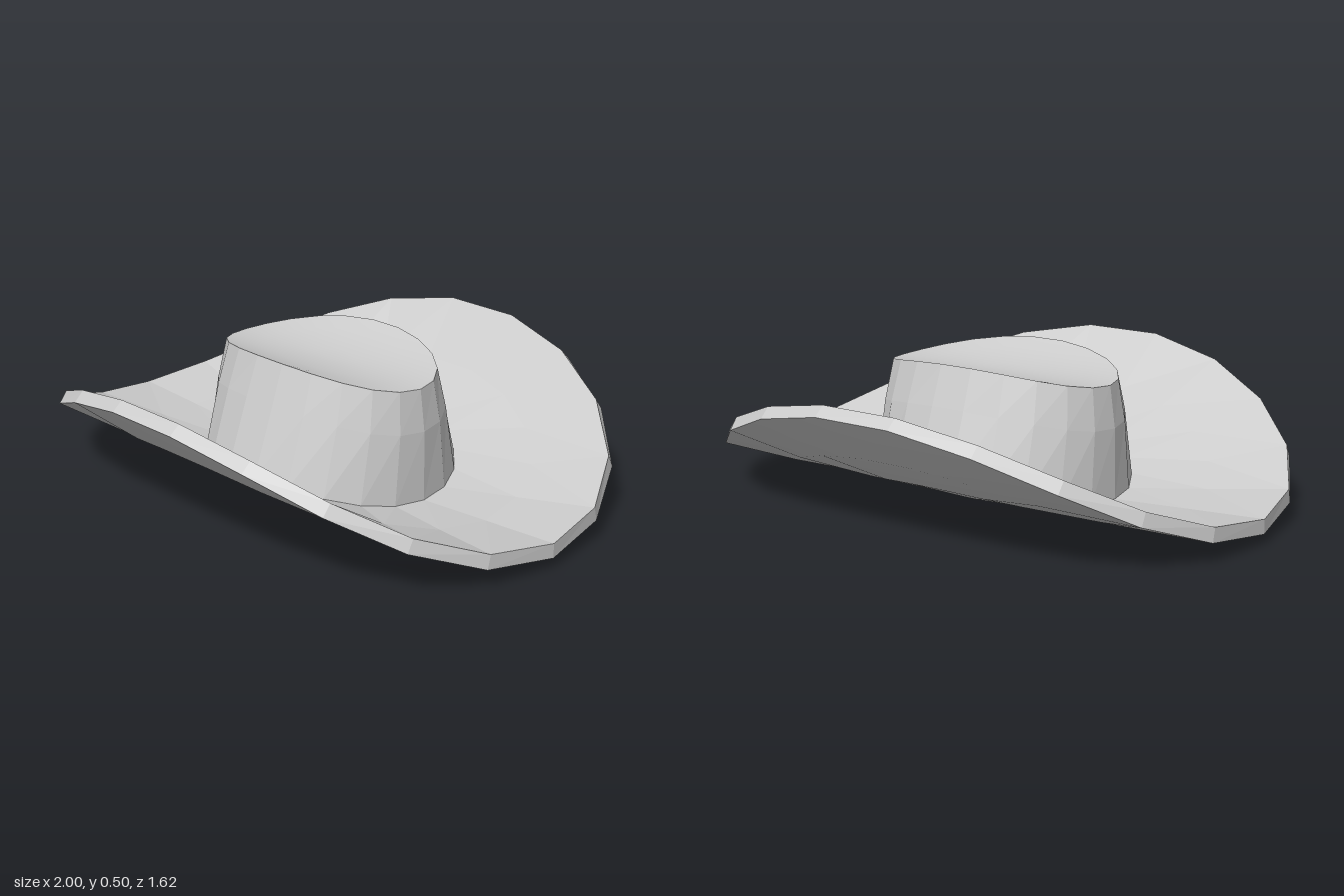
import * as THREE from 'three';
import { mergeVertices } from 'three/addons/utils/BufferGeometryUtils.js';

const SIDES = 22;
const BEND = 1.053;   // radius of the curl that lifts front and back
const BASE = 0.04;    // height of the rim's lower edge at the sides

// Curl a flat point about an axis running along x.
function curl(x, h, z) {
  const a = z / BEND;
  return [x, BASE + BEND - (BEND - h) * Math.cos(a), (BEND - h) * Math.sin(a)];
}

// Skin a run of oval rings [half width, half depth, height], then curl it.
function skin(name, rings, smooth) {
  const position = [], index = [];
  for (const [w, d, h] of rings) {
    for (let i = 0; i < SIDES; i++) {
      const t = (i / SIDES) * Math.PI * 2;
      position.push(...curl(w * Math.cos(t), h, d * Math.sin(t)));
    }
  }
  for (let k = 0; k < rings.length - 1; k++) {
    for (let i = 0; i < SIDES; i++) {
      const j = (i + 1) % SIDES;
      const p = k * SIDES + i, q = k * SIDES + j;
      const r = p + SIDES, s = q + SIDES;
      if (rings[k][0] > 0) index.push(p, r, q);
      if (rings[k + 1][0] > 0) index.push(q, r, s);
    }
  }
  let geometry = new THREE.BufferGeometry();
  geometry.setAttribute('position', new THREE.Float32BufferAttribute(position, 3));
  geometry.setIndex(index);
  geometry = smooth ? mergeVertices(geometry) : geometry.toNonIndexed();
  geometry.computeVertexNormals();
  const material = new THREE.MeshStandardMaterial({ color: 0xcccccc, flatShading: !smooth });
  const mesh = new THREE.Mesh(geometry, material);
  mesh.name = name;
  return mesh;
}

export function createModel() {
  const hat = new THREE.Group();
  hat.name = 'hat';

  // Smooth closed underside, bulging slightly at the middle
  hat.add(skin('brimUnderside', [
    [0, 0, -0.035], [0.2, 0.19, -0.026], [0.48, 0.45, -0.004], [0.74, 0.69, 0], [1, 0.933, 0],
  ], true));

  // Outer edge of the brim
  hat.add(skin('brimEdge', [[1, 0.933, 0], [1, 0.933, 0.05]], false));

  // Upper brim, dishing down toward the crown
  hat.add(skin('brimTop', [[1, 0.933, 0.05], [0.72, 0.675, 0.035], [0.45, 0.423, 0.02]], false));

  // Faceted crown wall
  hat.add(skin('crownWall', [[0.45, 0.423, 0.02], [0.445, 0.44, 0.26], [0.425, 0.455, 0.402]], false));

  // Smooth saddle-shaped crown top
  const cap = [1, 0.75, 0.5, 0.25, 0].map((f) => [0.425 * f, 0.455 * f, 0.402]);
  hat.add(skin('crownTop', cap, true));

  return hat;
}
